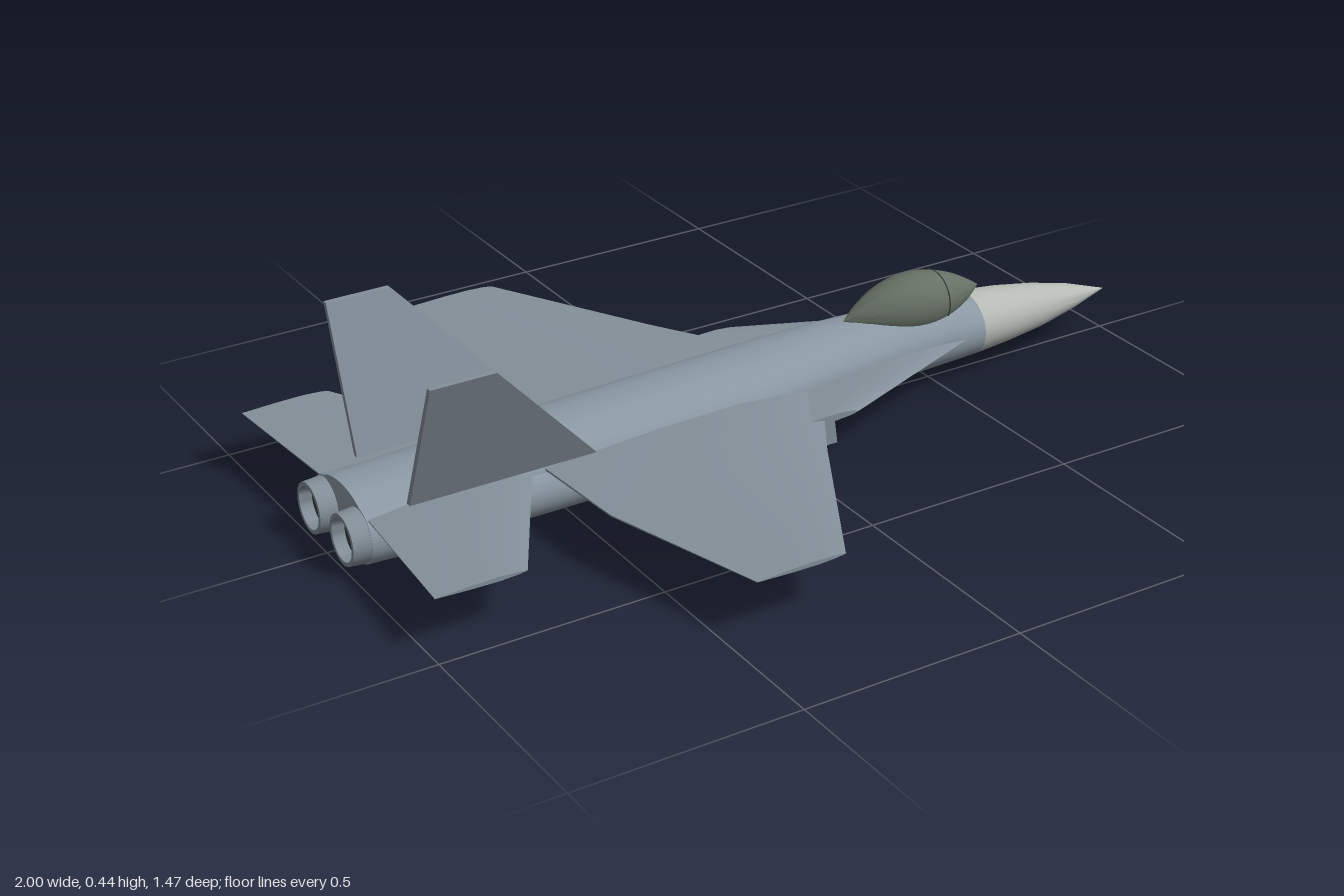
import * as THREE from 'three';
import { toCreasedNormals } from 'three/addons/utils/BufferGeometryUtils.js';

const material = (color) => new THREE.MeshStandardMaterial({ color, side: THREE.DoubleSide });
const skin = material(0x8c9aa5);
const panel = material(0x84909a);
const noseGrey = material(0xb6bbb6);
const glass = material(0x667064);
const dark = material(0x3a3f43);

// Skin a list of equal-length rings and close both ends
function loft(rings, crease = 0.6) {
  const n = rings[0].length;
  const pos = [];
  const idx = [];
  rings.forEach((ring) => ring.forEach((p) => pos.push(...p)));
  for (let r = 0; r < rings.length - 1; r++) {
    for (let i = 0; i < n; i++) {
      const j = (i + 1) % n;
      const a = r * n + i, b = r * n + j;
      idx.push(a, b, b + n, a, b + n, a + n);
    }
  }
  const last = (rings.length - 1) * n;
  for (let i = 1; i < n - 1; i++) {
    idx.push(0, i + 1, i, last, last + i, last + i + 1);
  }
  const geo = new THREE.BufferGeometry();
  geo.setAttribute('position', new THREE.Float32BufferAttribute(pos, 3));
  geo.setIndex(idx);
  return toCreasedNormals(geo, crease);
}

// Oval body along x; each station is [x, bottom, top, halfWidth]
function body(stations, z = 0, sides = 32) {
  return loft(stations.map(([x, y0, y1, w]) =>
    Array.from({ length: sides }, (_, i) => {
      const a = (i / sides) * Math.PI * 2;
      return [x, (y0 + y1) / 2 + ((y1 - y0) / 2) * Math.cos(a), z + w * Math.sin(a)];
    })));
}

// Fin sections as [chord fraction from the leading edge, thickness fraction]
const AIRFOIL = [[0, 0], [0.1, 0.6], [0.3, 1], [0.6, 0.8], [1, 0.12],
  [1, -0.12], [0.6, -0.8], [0.3, -1], [0.1, -0.6]];
const PLATE = [[0, 1], [1, 1], [1, -1], [0, -1]];

// Each station is [leadingX, trailingX, y, z, halfThickness]
function fin(section, stations, upright = false) {
  return loft(stations.map(([x0, x1, y, z, t]) => section.map(([c, k]) => {
    const x = x0 + (x1 - x0) * c;
    return upright ? [x, y, z - k * t] : [x, y + k * t, z];
  })), 0.5);
}

// Square duct, open at both ends, with raked end faces
function intakeDuct() {
  const shape = new THREE.Shape([[0.075, 0.01], [0.172, 0.01], [0.172, 0.105], [0.075, 0.105]]
    .map(([z, y]) => new THREE.Vector2(-z, y)));
  shape.holes.push(new THREE.Path([[0.085, 0.022], [0.163, 0.022], [0.163, 0.097], [0.085, 0.097]]
    .map(([z, y]) => new THREE.Vector2(-z, y))));
  const geo = new THREE.ExtrudeGeometry(shape, { depth: 0.26, bevelEnabled: false });
  geo.rotateY(Math.PI / 2).translate(-0.138, 0, 0);
  const p = geo.attributes.position;
  for (let i = 0; i < p.count; i++) {
    const rake = (0.1 - p.getY(i)) * 0.13;
    p.setX(i, p.getX(i) + (p.getX(i) > 0 ? rake : -rake));
  }
  geo.computeVertexNormals();
  return geo;
}

function add(group, name, geometry, mat) {
  const mesh = new THREE.Mesh(geometry, mat);
  mesh.name = name;
  group.add(mesh);
  return mesh;
}

// Everything on the +z side
function makeSide(name) {
  const side = new THREE.Group();
  side.name = name;

  add(side, 'wing', fin(AIRFOIL, [
    [0.16, -0.56, 0.117, 0.05, 0.022],
    [0.05, -0.548, 0.118, 0.245, 0.018],
    [-0.02, -0.54, 0.118, 0.36, 0.014],
    [-0.23, -0.435, 0.12, 0.737, 0.005],
  ]), panel);
  add(side, 'leadingEdgeExtension', fin(AIRFOIL, [
    [0.6, -0.1, 0.115, 0.06, 0.014],
    [0.14, -0.05, 0.118, 0.245, 0.008],
  ]), panel);
  add(side, 'tailplane', fin(AIRFOIL, [
    [-0.565, -0.953, 0.115, 0.08, 0.014],
    [-0.78, -0.98, 0.115, 0.455, 0.005],
  ]), panel);
  add(side, 'tailFin', fin(PLATE, [
    [-0.44, -0.87, 0.13, 0.122, 0.007],
    [-0.72, -0.866, 0.435, 0.236, 0.006],
  ], true), panel);

  // Engine, with a hollow nozzle
  add(side, 'engineNacelle', body([
    [-0.96, 0.004, 0.13, 0.062],
    [-0.85, 0, 0.13, 0.065],
    [-0.07, 0, 0.128, 0.064],
  ], 0.076), skin);
  const nozzle = new THREE.LatheGeometry([[0.06, 0], [0.056, 0.05], [0.047, 0.05], [0.042, 0.012]]
    .map(([r, h]) => new THREE.Vector2(r, h)), 32);
  nozzle.rotateZ(Math.PI / 2);
  add(side, 'nozzle', toCreasedNormals(nozzle, 0.5), panel).position.set(-0.95, 0.067, 0.078);
  const core = new THREE.CylinderGeometry(0.046, 0.046, 0.01, 32).rotateZ(Math.PI / 2);
  add(side, 'nozzleCore', core, dark).position.set(-0.968, 0.067, 0.078);

  add(side, 'intake', intakeDuct(), panel);
  add(side, 'intakeInterior', new THREE.BoxGeometry(0.2, 0.08, 0.082), dark)
    .position.set(0, 0.06, 0.124);
  return side;
}

export function createModel() {
  const jet = new THREE.Group();
  jet.name = 'fighterJet';

  add(jet, 'fuselage', body([
    [-0.96, 0.045, 0.15, 0.108],
    [-0.75, 0.035, 0.16, 0.118],
    [-0.45, 0.03, 0.173, 0.125],
    [0.02, 0.028, 0.19, 0.124],
    [0.2, 0.03, 0.198, 0.108],
    [0.38, 0.033, 0.198, 0.092],
    [0.5, 0.036, 0.193, 0.086],
    [0.6, 0.039, 0.186, 0.08],
  ]), skin);
  add(jet, 'noseCone', body([
    [0.6, 0.039, 0.186, 0.08],
    [0.7, 0.045, 0.175, 0.069],
    [0.8, 0.055, 0.158, 0.053],
    [0.9, 0.073, 0.134, 0.031],
    [1, 0.098, 0.1, 0.001],
  ]), noseGrey);

  // Pointed bubble canopy with one frame hoop
  const canopy = [];
  for (let i = 0; i <= 16; i++) {
    const u = i / 8 - 1;
    const r = 0.001 + 0.069 * (1 - u * u);
    canopy.push([0.447 + u * 0.183, 0.2 - r, 0.2 + r, r]);
  }
  add(jet, 'canopy', body(canopy), glass);
  const hoop = new THREE.TorusGeometry(0.0612, 0.002, 6, 40).rotateY(Math.PI / 2);
  add(jet, 'canopyFrame', hoop, dark).position.set(0.51, 0.2, 0);

  const near = makeSide('frontSide');
  const far = makeSide('backSide');
  far.scale.z = -1;
  jet.add(near, far);
  return jet;
}
